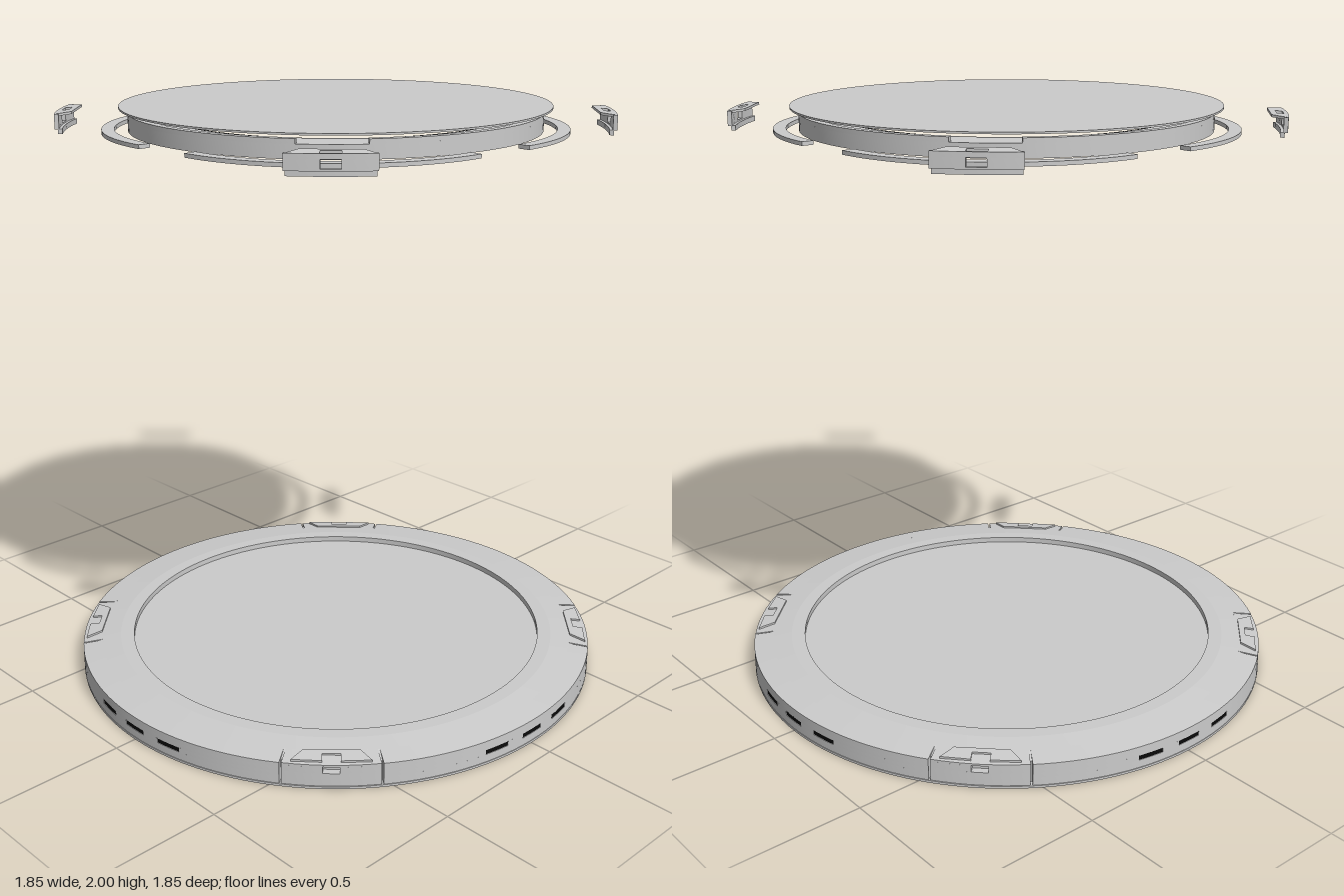
import * as THREE from 'three';
import { mergeGeometries, toCreasedNormals } from 'three/addons/utils/BufferGeometryUtils.js';

const grey = new THREE.MeshStandardMaterial({ color: 0xcccccc, side: THREE.DoubleSide });
const black = new THREE.MeshStandardMaterial({ color: 0x0a0a0a, side: THREE.DoubleSide });
const rad = THREE.MathUtils.degToRad;

// Solid made by sweeping a closed (radius, height) profile between two angles; angle 0 is +z
function sweep(profile, a0 = -180, a1 = 180) {
  const pts = profile.map(([r, y]) => new THREE.Vector2(r, y));
  const full = a1 - a0 >= 360;
  const lathe = new THREE.LatheGeometry([...pts, pts[0].clone()],
    Math.max(2, Math.ceil((a1 - a0) / 2.5)), rad(a0), rad(a1 - a0));
  const parts = [toCreasedNormals(lathe, 0.05)];
  if (!full) {
    for (const a of [a0, a1]) {
      const cap = new THREE.ShapeGeometry(new THREE.Shape(pts));
      cap.rotateY(rad(a) - Math.PI / 2);
      parts.push(cap.toNonIndexed());
    }
  }
  return mergeGeometries(parts);
}

const box = (r0, r1, y0, y1) => [[r0, y0], [r1, y0], [r1, y1], [r0, y1]];

// Curved wall with a row of openings, each [from, to] in degrees
function piercedWall(r0, r1, y0, y1, half, openings, oy0, oy1) {
  const parts = [sweep(box(r0, r1, y0, oy0), -half, half), sweep(box(r0, r1, oy1, y1), -half, half)];
  let from = -half;
  for (const [a, b] of [...openings, [half, half]]) {
    parts.push(sweep(box(r0, r1, oy0, oy1), from, a));
    from = b;
  }
  return mergeGeometries(parts);
}

// Tapered plate with a notch in its outer edge, leaning down towards the rim
function flap(top, thick, slope) {
  const half = [[0.03, 0.876], [0.03, 0.91], [0.128, 0.905], [0.09, 0.855]];
  const mirrored = half.map(([x, y]) => [-x, y]).reverse();
  const s = new THREE.Shape([...half, ...mirrored].map(([x, y]) => new THREE.Vector2(x, y)));
  const g = new THREE.ExtrudeGeometry(s, { depth: thick, bevelEnabled: false });
  g.rotateX(Math.PI / 2);
  const p = g.attributes.position;
  for (let i = 0; i < p.count; i++) p.setY(i, p.getY(i) + top - (p.getZ(i) - 0.855) * slope);
  g.computeVertexNormals();
  return g;
}

function add(parent, name, geo, turn = 0, material = grey) {
  const m = new THREE.Mesh(geo, material);
  m.name = name;
  m.rotation.y = rad(turn);
  parent.add(m);
}

function createBase() {
  const base = new THREE.Group();
  base.name = 'base';
  const rimY = 0.085, slope = 0.11;
  const topAt = (r) => rimY + (0.925 - r) * slope;

  // Core with the shallow round well
  add(base, 'baseCore', sweep([[0, 0.008], [0.9, 0.008], [0.9, 0.08], [0.855, topAt(0.855)],
    [0.79, 0.1], [0.742, 0.1], [0.742, 0.08], [0, 0.08]]));
  add(base, 'basePlate', sweep([[0, 0], [0.925, 0], [0.925, 0.008], [0, 0.008]]));

  const slots = [-10, 0, 10].map((a) => [a - 2.9, a + 2.9]);
  const sideWall = piercedWall(0.9, 0.925, 0.01, 0.07, 34.8, slots, 0.037, 0.053);
  const sideCover = sweep([[0.9, 0.07], [0.925, 0.07], [0.925, rimY],
    [0.855, topAt(0.855)], [0.855, 0.08], [0.9, 0.08]], -34.8, 34.8);
  const slotFills = mergeGeometries(slots.map(([a, b]) => sweep(box(0.9, 0.923, 0.037, 0.053), a, b)));
  const cornerWall = piercedWall(0.9, 0.924, 0.01, 0.082, 9.8, [[-1.7, 1.7]], 0.055, 0.078);
  const cornerTop = sweep([[0.9, 0.082], [0.924, 0.082], [0.924, rimY], [0.855, topAt(0.855)],
    [0.855, 0.085]], -9.8, 9.8);
  const inlay = flap(topAt(0.855) + 0.006, 0.009, slope);

  for (let i = 0; i < 4; i++) {
    add(base, 'slottedSideWall', sideWall, i * 90);
    add(base, 'sideCover', sideCover, i * 90);
    add(base, 'slotFills', slotFills, i * 90, black);
    add(base, 'cornerWall', cornerWall, i * 90 + 45);
    add(base, 'cornerTop', cornerTop, i * 90 + 45);
    add(base, 'cornerInlay', inlay, i * 90 + 45);
  }
  return base;
}

function createUpperAssembly() {
  const upper = new THREE.Group();
  upper.name = 'upperAssembly';

  // Thin top plate with faint rings beneath it
  add(upper, 'topPlate', sweep([[0, 1.994], [0.708, 1.994], [0.708, 2], [0, 2]]));
  for (const r of [0.32, 0.42]) add(upper, 'plateRing', sweep(box(r - 0.003, r + 0.003, 1.992, 1.995)));

  // Frame ring with a dark inner liner and taller walls on the four sides
  add(upper, 'frameRing', sweep(box(0.57, 0.68, 1.921, 1.965)));
  add(upper, 'frameLiner', sweep(box(0.56, 0.57, 1.912, 1.965)), 0, black);
  const tall = sweep(box(0.655, 0.68, 1.965, 1.98), -36, 36);

  // Quarter rings pulled outwards along the diagonals
  const quarter = sweep(box(0.57, 0.612, 1.912, 1.925), -45, 45);
  quarter.translate(0, 0, 0.156);

  // Corner clip: pierced outer wall, a lip below it and a notched flap
  const clipWall = piercedWall(0.9, 0.914, 1.928, 1.976, 8.2, [[-1.8, 1.8]], 1.934, 1.96);
  const clipLip = sweep(box(0.89, 0.904, 1.912, 1.929), -8, 8);
  const clipFlap = flap(1.98, 0.008, 0.08);

  for (let i = 0; i < 4; i++) {
    add(upper, 'frameSideWall', tall, i * 90);
    add(upper, 'quarterRing', quarter, i * 90 + 45);
    const clip = new THREE.Group();
    clip.name = 'cornerClip';
    clip.rotation.y = rad(i * 90 + 45);
    add(clip, 'clipWall', clipWall);
    add(clip, 'clipLip', clipLip);
    add(clip, 'clipFlap', clipFlap);
    upper.add(clip);
  }
  return upper;
}

export function createModel() {
  const model = new THREE.Group();
  model.name = 'roundPadWithLiftedCover';
  model.add(createBase(), createUpperAssembly());
  return model;
}
